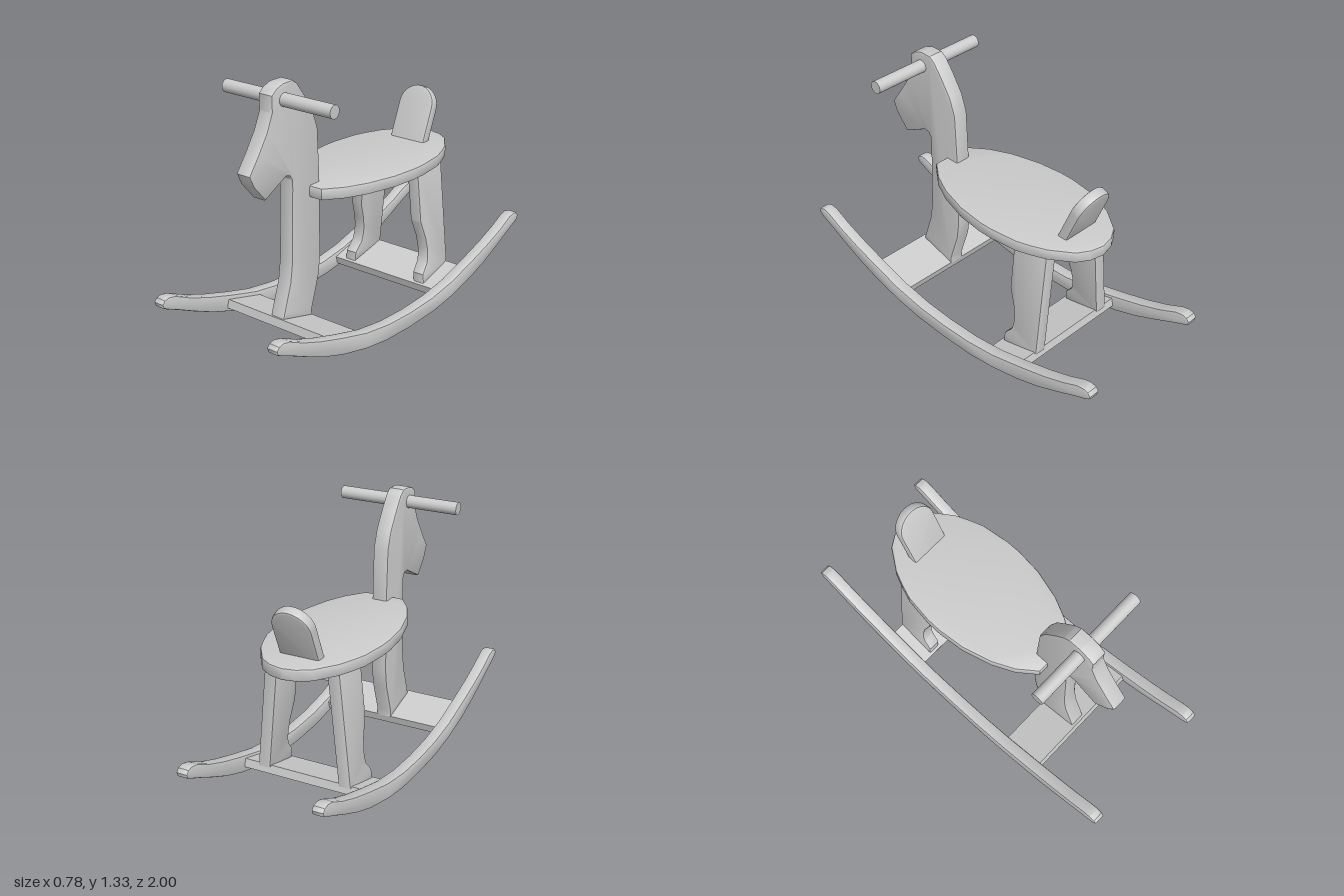
import * as THREE from 'three';
import { toCreasedNormals } from 'three/addons/utils/BufferGeometryUtils.js';

const material = new THREE.MeshStandardMaterial({ color: 0xcccccc });

function mesh(name, geometry, parent) {
  const m = new THREE.Mesh(geometry, material);
  m.name = name;
  parent.add(m);
  return m;
}

// Board with softened edges, centred on its thickness (local z)
function board(shape, thickness, bevel = 0.01) {
  const g = new THREE.ExtrudeGeometry(shape, {
    depth: thickness - 2 * bevel, curveSegments: 10,
    bevelSize: bevel, bevelThickness: bevel, bevelOffset: -bevel, bevelSegments: 2,
  });
  return g.translate(0, 0, bevel - thickness / 2);
}

const polygon = (pts) => new THREE.Shape(pts.map(([a, b]) => new THREE.Vector2(a, b)));

// Board cut from a side profile of [z, y] points, thickness along x
const sideBoard = (pts, thickness, bevel) => board(polygon(pts), thickness, bevel).rotateY(-Math.PI / 2);

const crease = (g) => toCreasedNormals(g, 0.5);

export function createModel() {
  const group = new THREE.Group();
  group.name = 'rockingHorse';

  // Curved rockers, one profile half mirrored front to back
  const half = [
    [0.2, 0.006], [0.36, 0.03], [0.54, 0.073], [0.67, 0.118], [0.8, 0.175], [0.89, 0.218],
    [0.97, 0.253], [0.995, 0.268], [1.0, 0.288], [0.985, 0.306], [0.955, 0.313], [0.915, 0.305],
    [0.82, 0.26], [0.7, 0.215], [0.54, 0.166], [0.36, 0.117], [0.18, 0.09],
  ];
  const rockerProfile = [[0, 0], ...half, [0, 0.083], ...half.map(([z, y]) => [-z, y]).reverse()];
  for (const side of [1, -1]) {
    const rocker = mesh(side > 0 ? 'leftRocker' : 'rightRocker', crease(sideBoard(rockerProfile, 0.064)), group);
    rocker.position.x = side * 0.36;
  }

  // Slats joining the rockers, tilted to follow their curve
  for (const [name, z, y, tilt] of [['frontSlat', 0.455, 0.098, -0.26], ['rearSlat', -0.403, 0.09, 0.26]]) {
    const slat = mesh(name, new THREE.BoxGeometry(0.67, 0.044, 0.235), group);
    slat.position.set(0, y, z);
    slat.rotation.x = tilt;
  }

  // Head, neck and front leg in one board
  const headProfile = [
    [0.55, 0.14], [0.335, 0.085], [0.335, 0.12], [0.28, 0.29], [0.267, 0.385], [0.267, 0.8], [0.278, 1.055],
    [0.31, 1.146], [0.37, 1.24], [0.42, 1.307], [0.45, 1.328], [0.515, 1.328], [0.562, 1.312],
    [0.595, 1.285], [0.595, 1.205], [0.632, 1.12], [0.696, 1.023], [0.755, 0.943], [0.728, 0.884],
    [0.653, 0.798], [0.509, 0.873], [0.483, 0.868], [0.468, 0.845], [0.466, 0.8], [0.477, 0.423],
    [0.493, 0.316], [0.54, 0.175],
  ];
  mesh('headAndNeck', crease(sideBoard(headProfile, 0.085)), group).position.x = -0.016;

  // Handle bar through the head
  const handle = mesh('handle', new THREE.CylinderGeometry(0.033, 0.033, 0.658, 24).rotateZ(Math.PI / 2), group);
  handle.position.set(-0.006, 1.25, 0.513);

  // Oval seat with a blunt front, [x, z] outline mirrored
  const seatHalf = [
    [0.107, 0.345], [0.18, 0.25], [0.232, 0.14], [0.275, -0.016], [0.29, -0.16], [0.289, -0.24],
    [0.27, -0.387], [0.245, -0.46], [0.213, -0.535], [0.135, -0.645], [0.07, -0.685],
  ];
  const seatOutline = [...seatHalf, [0, -0.7], ...seatHalf.map(([x, z]) => [-x, z]).reverse()]
    .map(([x, z]) => [x, -z]);
  const seat = mesh('seat', crease(board(polygon(seatOutline), 0.062).rotateX(-Math.PI / 2)), group);
  seat.position.set(-0.007, 0.75, 0);

  // Round-topped backrest leaning to the rear
  const r = 0.106;
  const backShape = new THREE.Shape();
  backShape.moveTo(-r, 0);
  backShape.lineTo(r, 0);
  backShape.lineTo(r, 0.2);
  backShape.absarc(0, 0.2, r, 0, Math.PI, false);
  backShape.lineTo(-r, 0);
  const backrest = mesh('backrest', crease(board(backShape, 0.054)), group);
  backrest.position.set(-0.014, 0.76, -0.513);
  backrest.rotation.x = -0.39;

  // Splayed rear legs, sheared outwards towards the floor
  const legProfile = [
    [-0.31, 0.73], [-0.52, 0.73], [-0.52, 0.13], [-0.3, 0.085], [-0.3, 0.135], [-0.318, 0.158],
    [-0.343, 0.187], [-0.352, 0.225], [-0.353, 0.265], [-0.343, 0.327], [-0.31, 0.423],
  ];
  for (const side of [1, -1]) {
    const g = sideBoard(legProfile, 0.067, 0.008);
    const p = g.attributes.position;
    for (let i = 0; i < p.count; i++) {
      p.setX(i, p.getX(i) + side * (0.167 + 0.098 * (0.72 - p.getY(i))));
    }
    mesh(side > 0 ? 'leftRearLeg' : 'rightRearLeg', crease(g), group).position.x = -0.01;
  }

  // Brace under the seat between the rear legs
  mesh('seatBrace', new THREE.BoxGeometry(0.3, 0.055, 0.06), group).position.set(-0.01, 0.6975, -0.48);

  return group;
}
